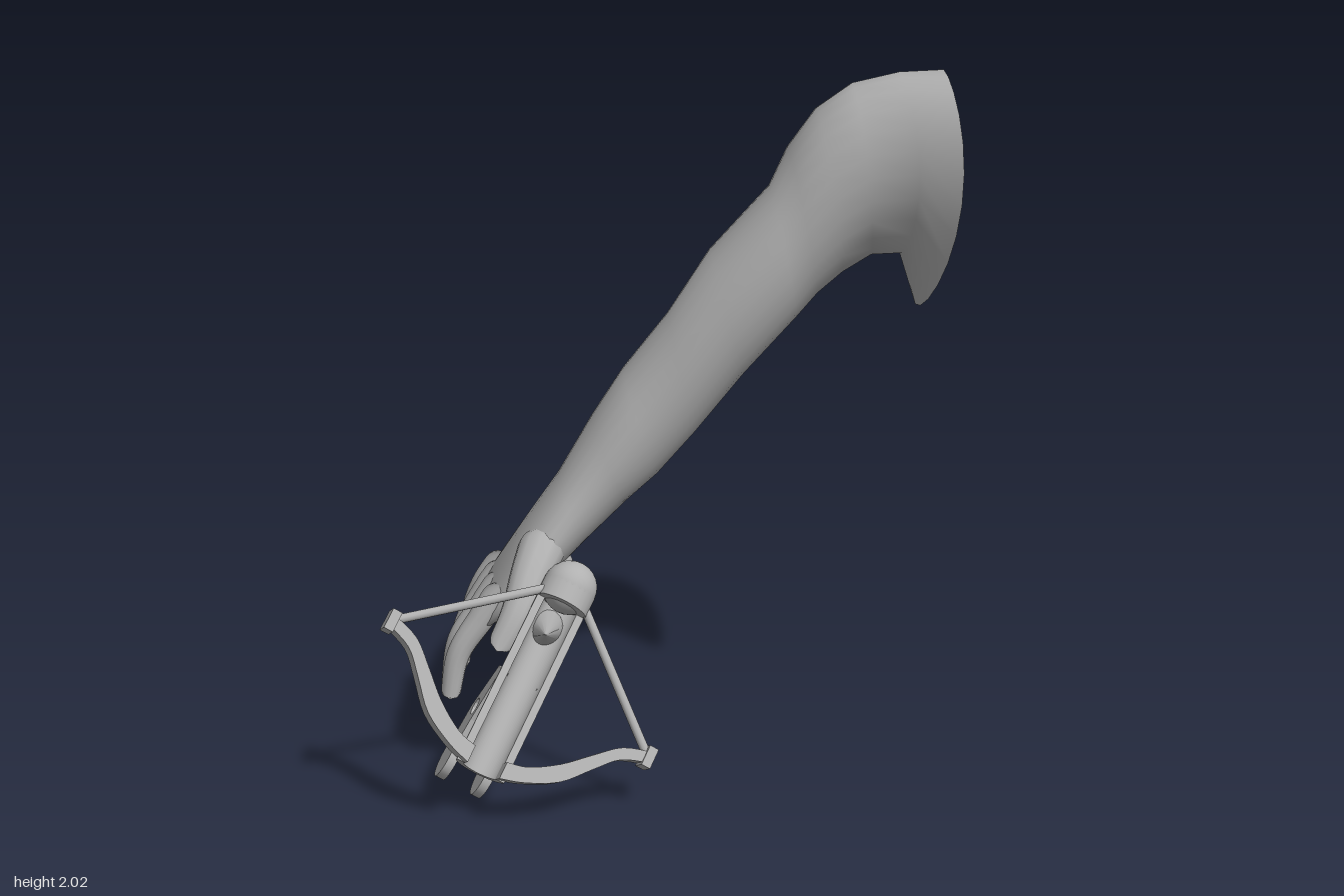
import * as THREE from 'three';

const grey = new THREE.MeshStandardMaterial({ color: 0xb0b0b0, side: THREE.DoubleSide });
grey.name = 'plain grey';

function add(parent, name, geometry) {
  const mesh = new THREE.Mesh(geometry, grey);
  mesh.name = name;
  parent.add(mesh);
  return mesh;
}

// Skin through oval rings: [upper x, upper y, lower x, lower y, z min, z max, sideways bulge]
function loft(rings, sides, capEnd) {
  const pos = [], index = [];
  for (const [ux, uy, lx, ly, z0, z1, bulge = 0] of rings) {
    for (let j = 0; j < sides; j++) {
      const a = (j / sides) * Math.PI * 2;
      const c = Math.cos(a), s = Math.sin(a);
      pos.push((ux + lx) / 2 + ((ux - lx) / 2) * c + bulge * s * s,
        (uy + ly) / 2 + ((uy - ly) / 2) * c,
        (z0 + z1) / 2 + ((z1 - z0) / 2) * s);
    }
  }
  for (let i = 0; i < rings.length - 1; i++) {
    for (let j = 0; j < sides; j++) {
      const k = (j + 1) % sides, a = i * sides, b = a + sides;
      index.push(a + j, b + j, a + k, a + k, b + j, b + k);
    }
  }
  if (capEnd) {
    const [ux, uy, lx, ly, z0, z1] = rings[rings.length - 1];
    const base = (rings.length - 1) * sides, tip = pos.length / 3;
    pos.push((ux + lx) / 2, (uy + ly) / 2, (z0 + z1) / 2);
    for (let j = 0; j < sides; j++) index.push(base + j, tip, base + ((j + 1) % sides));
  }
  const g = new THREE.BufferGeometry();
  g.setAttribute('position', new THREE.Float32BufferAttribute(pos, 3));
  g.setIndex(index);
  g.computeVertexNormals();
  return g;
}

// Tapered tube with rounded ends
function limb(points, r0, r1, sides = 12) {
  const curve = new THREE.CatmullRomCurve3(points.map((p) => new THREE.Vector3(...p)));
  const n = 32, length = curve.getLength();
  const g = new THREE.TubeGeometry(curve, n, 1, sides);
  const p = g.attributes.position, v = new THREE.Vector3();
  for (let i = 0; i <= n; i++) {
    const t = i / n, centre = curve.getPointAt(t);
    const full = r0 + (r1 - r0) * t;
    const e = Math.min(1, (Math.min(t, 1 - t) * length) / full);
    const r = full * Math.sqrt(1 - (1 - e) ** 2);
    for (let j = 0; j <= sides; j++) {
      const k = i * (sides + 1) + j;
      v.fromBufferAttribute(p, k).sub(centre).multiplyScalar(Math.max(r, 0.0005)).add(centre);
      p.setXYZ(k, v.x, v.y, v.z);
    }
  }
  return g;
}

const shapeOf = (pts) => new THREE.Shape(pts.map(([x, y]) => new THREE.Vector2(x, y)));

function buildArm() {
  const arm = new THREE.Group();
  arm.name = 'arm';
  add(arm, 'armAndPalm', loft([
    [0.77, 2.0, 0.71, 1.33, -0.42, 0.1, 0.05],
    [0.65, 1.99, 0.665, 1.475, -0.385, 0.0, 0.03],
    [0.52, 1.96, 0.58, 1.47, -0.375, -0.02],
    [0.42, 1.89, 0.5, 1.42, -0.37, -0.03],
    [0.34, 1.78, 0.43, 1.36, -0.365, -0.035],
    [0.29, 1.67, 0.37, 1.29, -0.36, -0.04],
    [0.12, 1.49, 0.22, 1.13, -0.34, -0.025],
    [0.0, 1.3, 0.08, 0.95, -0.345, -0.055],
    [-0.13, 1.14, -0.03, 0.83, -0.335, -0.04],
    [-0.22, 1.0, -0.12, 0.75, -0.335, -0.04],
    [-0.32, 0.83, -0.24, 0.635, -0.32, -0.03],
    [-0.4, 0.72, -0.31, 0.575, -0.33, 0.02],
    [-0.47, 0.61, -0.37, 0.51, -0.365, 0.025],
    [-0.53, 0.51, -0.44, 0.44, -0.395, 0.0],
    [-0.56, 0.44, -0.5, 0.41, -0.38, -0.01],
  ], 24, true));

  // Four fingers: base z, tip x, y, z
  [[-0.055, -0.66, 0.19, -0.025], [-0.15, -0.665, 0.17, -0.147],
    [-0.245, -0.64, 0.19, -0.265], [-0.33, -0.605, 0.235, -0.37]].forEach(([z, x, y, tz]) => {
    add(arm, 'finger', limb([[-0.48, 0.53, z], [-0.55, 0.43, (z * 2 + tz) / 3],
      [(x - 0.55) / 2 - 0.01, 0.33, (z + tz * 2) / 3], [x + 0.015, y, tz]], 0.045, 0.028));
  });
  add(arm, 'thumb', limb([[-0.35, 0.68, -0.08], [-0.4, 0.59, 0.02], [-0.44, 0.5, 0.09],
    [-0.5, 0.4, 0.13]], 0.075, 0.035));
  return arm;
}

// Local axes: x across the bow, y out of the groove, z along the shot
function buildCrossbow() {
  const bow = new THREE.Group();
  bow.name = 'crossbow';

  // Grooved stock
  const groove = new THREE.Shape();
  groove.absarc(0, 0, 0.075, Math.PI, Math.PI * 2, false);
  groove.absarc(0, 0, 0.052, Math.PI * 2, Math.PI, true);
  add(bow, 'groovedStock', new THREE.ExtrudeGeometry(groove,
    { depth: 0.54, bevelEnabled: false, curveSegments: 16 }).translate(0, 0, 0.04));

  // Rounded rear housing
  add(bow, 'rearHousing', new THREE.CylinderGeometry(0.078, 0.078, 0.06, 24)
    .rotateX(Math.PI / 2).translate(0, 0, 0.03));
  add(bow, 'rearDome', new THREE.SphereGeometry(0.078, 24, 16));

  // Grip and trigger hook, both on the centre plane
  add(bow, 'grip', limb([[0, -0.455, -0.185], [0, -0.28, -0.04], [0, -0.13, 0.085], [0, -0.02, 0.15]],
    0.06, 0.055, 16));
  add(bow, 'triggerHook', limb([[0, -0.1, 0.16], [0, -0.19, 0.15], [0, -0.26, 0.135], [0, -0.325, 0.18]],
    0.035, 0.013));

  // Underside rail
  add(bow, 'underRail', new THREE.BoxGeometry(0.07, 0.03, 0.4).translate(0, -0.08, 0.28));

  for (const side of [-1, 1]) {
    // Recurved bow limb
    const edge = (pts) => new THREE.SplineCurve(pts.map(([x, y]) =>
      new THREE.Vector2(x * side, y))).getPoints(20);
    const outline = new THREE.Shape([
      ...edge([[0.05, 0.58], [0.12, 0.558], [0.21, 0.51], [0.28, 0.435], [0.34, 0.375], [0.42, 0.345]]),
      ...edge([[0.41, 0.315], [0.33, 0.342], [0.262, 0.4], [0.19, 0.465], [0.11, 0.515], [0.05, 0.53]]),
    ]);
    add(bow, 'bowLimb', new THREE.ExtrudeGeometry(outline, { depth: 0.055, bevelEnabled: false })
      .rotateX(Math.PI / 2).translate(0, 0.035, 0));
    add(bow, 'limbTip', new THREE.BoxGeometry(0.028, 0.06, 0.06).translate(side * 0.412, 0.01, 0.33));

    // String half
    add(bow, 'bowString', limb([[side * 0.42, 0.015, 0.335], [0, 0.015, -0.015]], 0.013, 0.013, 10));

    // Pierced side plate with round foot
    const plate = shapeOf([[0.553, -0.157], [0.445, -0.112], [0.298, -0.02], [0.276, -0.078],
      [0.391, -0.198], [0.5, -0.242]]);
    plate.holes.push(new THREE.Path().absarc(0.4, -0.14, 0.026, 0, Math.PI * 2, true));
    add(bow, 'sidePlate', new THREE.ExtrudeGeometry(plate,
      { depth: 0.024, bevelEnabled: false, curveSegments: 6 })
      .rotateY(-Math.PI / 2).translate(side * 0.058 + 0.012, 0, 0));
    add(bow, 'roundFoot', new THREE.CylinderGeometry(0.066, 0.066, 0.026, 24)
      .rotateZ(Math.PI / 2).translate(side * 0.058, -0.21, 0.55));
  }
  add(bow, 'crossBar', new THREE.BoxGeometry(0.12, 0.03, 0.04).translate(0, -0.185, 0.42));

  // Aim the bow down and forward
  const across = new THREE.Vector3(0.857, -0.515, 0).normalize();
  const aim = new THREE.Vector3(-0.41, -0.74, 0.53);
  const out = aim.clone().cross(across).normalize();
  aim.crossVectors(across, out);
  bow.quaternion.setFromRotationMatrix(new THREE.Matrix4().makeBasis(across, out, aim));
  bow.position.set(-0.29, 0.57, 0.08);
  return bow;
}

export function createModel() {
  const model = new THREE.Group();
  model.name = 'armWithCrossbow';
  model.add(buildArm(), buildCrossbow());
  return model;
}
